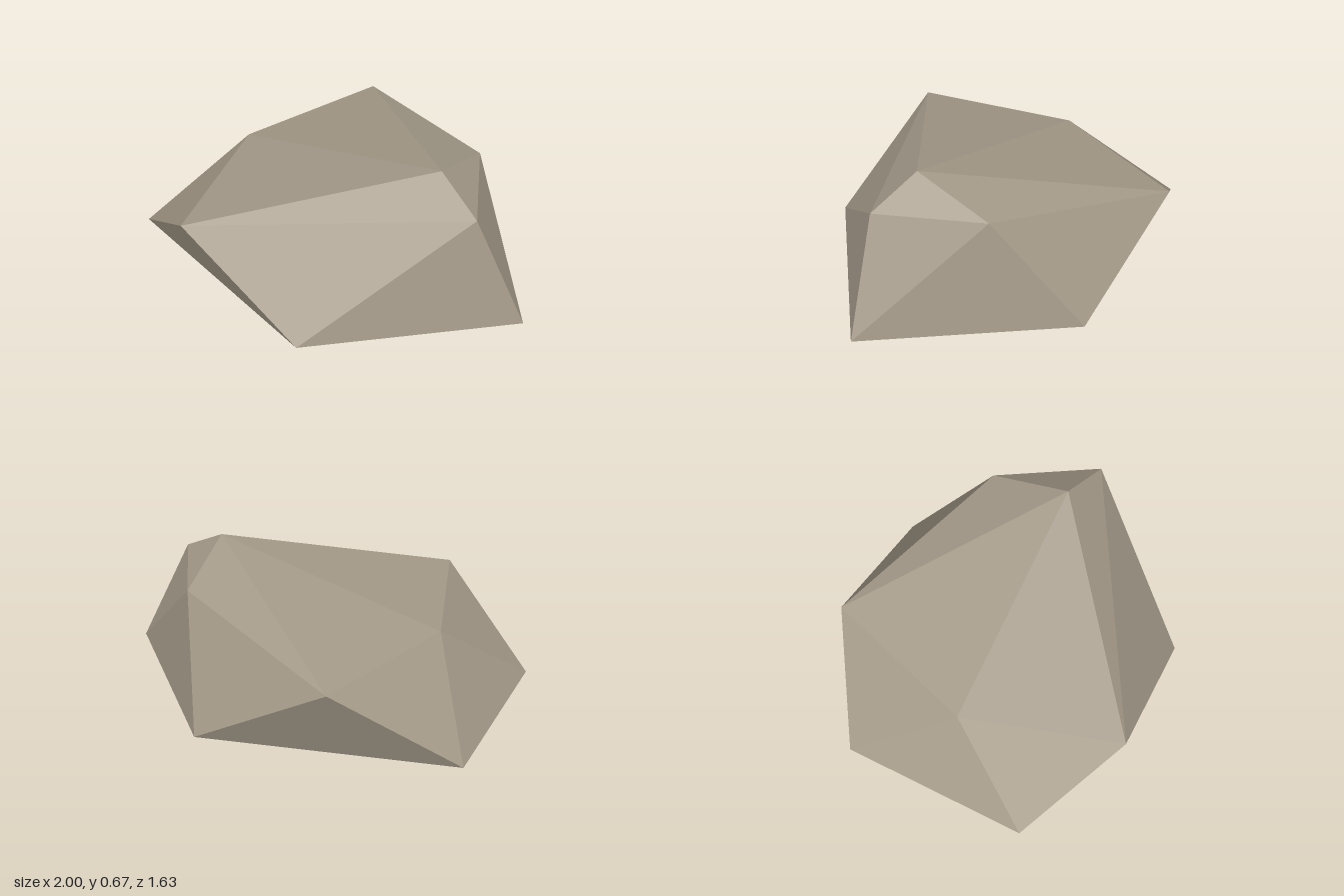
import * as THREE from 'three';

const stone = new THREE.MeshStandardMaterial({ color: 0xa39988 });
stone.name = 'warm grey stone';
const moss = new THREE.MeshStandardMaterial({ color: 0xc8be7c });
moss.name = 'olive underside';

// Corners of the boulder: ground pentagon (A-E) and upper corners (F-K)
const P = {
  A: [-1, 0, -0.25], B: [-0.775, 0, 0.66], C: [0.46, 0, 0.655], D: [1, 0, -0.26], E: [0.1, 0, -0.82],
  F: [-0.6, 0.39, 0.13], G: [-0.19, 0.39, 0.815], H: [0.53, 0.665, -0.14],
  I: [0.78, 0.535, -0.13], J: [0.41, 0.535, -0.51], K: [-0.55, 0.39, -0.66],
};
const FACETS = 'AKF AFB BFG FKH FHG KJH KEJ EJD JDI JHI HIG GIC IDC BGC AEK'.split(' ');

// Flat facets, each wound to face away from the middle of the stone
function facetGeometry() {
  const middle = new THREE.Vector3(0, 0.2, 0);
  const points = [];
  for (const facet of FACETS) {
    const [a, b, c] = [...facet].map((key) => new THREE.Vector3(...P[key]));
    const normal = b.clone().sub(a).cross(c.clone().sub(a));
    const outward = normal.dot(a.clone().sub(middle)) > 0;
    points.push(...(outward ? [a, b, c] : [a, c, b]));
  }
  const geometry = new THREE.BufferGeometry().setFromPoints(points);
  geometry.computeVertexNormals();
  return geometry;
}

// Flat outline in x/z, laid on the ground and facing down
function groundFace(shape) {
  return new THREE.ShapeGeometry(shape, 6).rotateX(Math.PI / 2);
}

export function createModel() {
  const group = new THREE.Group();
  group.name = 'boulder';
  const add = (name, geometry, material) => {
    const mesh = new THREE.Mesh(geometry, material);
    mesh.name = name;
    group.add(mesh);
  };

  add('stoneFacets', facetGeometry(), stone);

  // Underside with a small bare patch of stone let into it
  const patch = [];
  for (let i = 0; i < 12; i++) {
    const t = (i / 12) * Math.PI * 2;
    patch.push(new THREE.Vector2(-0.43 + 0.065 * Math.cos(t), 0.46 + 0.05 * Math.sin(t)));
  }
  const base = new THREE.Shape([...'ABCDE'].map((key) => new THREE.Vector2(P[key][0], P[key][2])));
  base.holes.push(new THREE.Path(patch));
  add('underside', groundFace(base), moss);
  add('barePatch', groundFace(new THREE.Shape(patch)), stone);

  return group;
}
